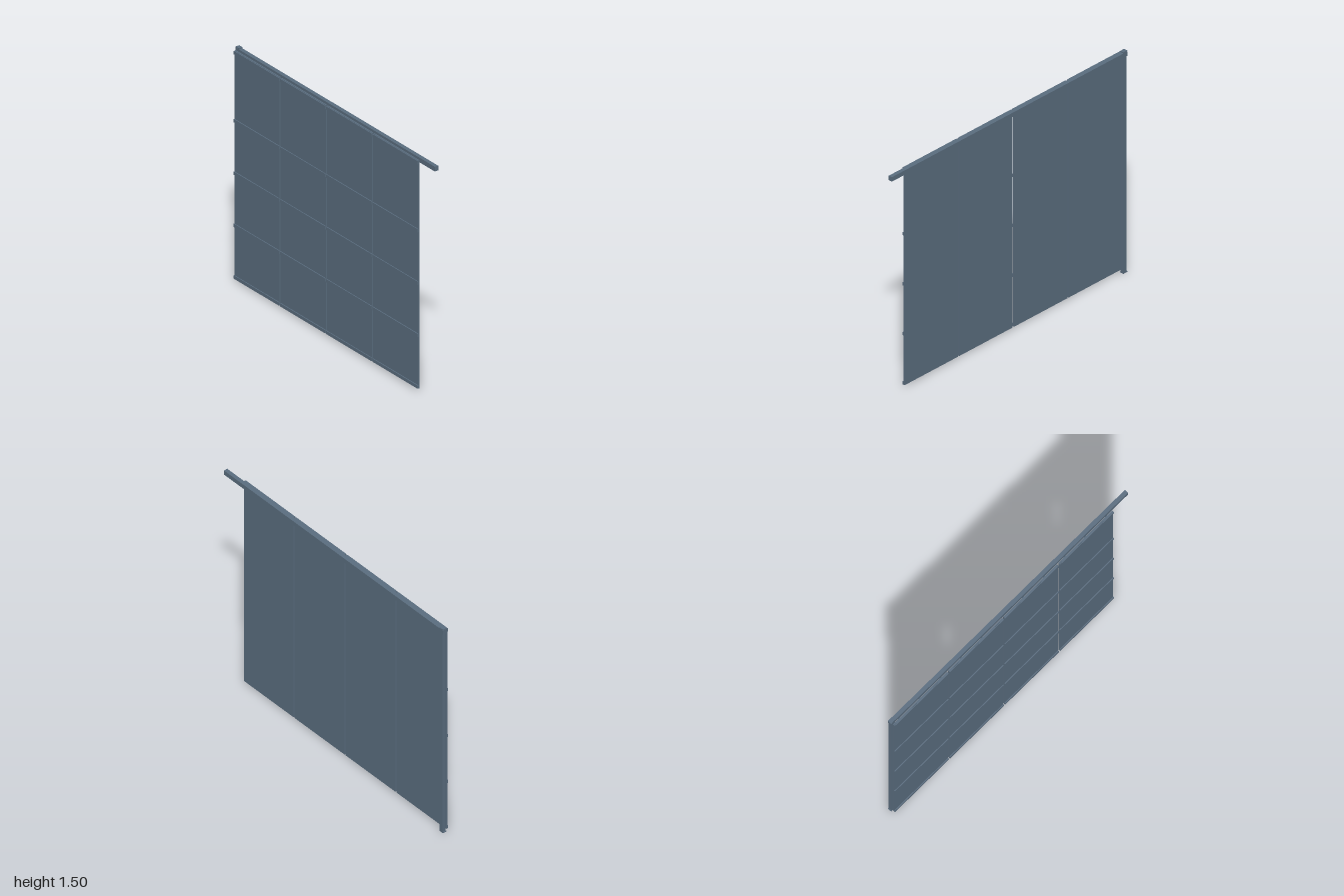
import * as THREE from 'three';

export function createModel() {
  const gate = new THREE.Group();
  gate.name = 'slidingGate';
  const steel = new THREE.MeshStandardMaterial({ color: 0x5b6e80 });
  steel.name = 'blueGreySteel';

  // Box given by its lower and upper corners
  function box(name, [x0, y0, z0], [x1, y1, z1], parent = gate) {
    const mesh = new THREE.Mesh(new THREE.BoxGeometry(x1 - x0, y1 - y0, z1 - z0), steel);
    mesh.name = name;
    mesh.position.set((x0 + x1) / 2, (y0 + y1) / 2, (z0 + z1) / 2);
    parent.add(mesh);
  }

  // Overhead rail, and the end post with its caps
  box('topRail', [-1, 1.467, -0.024], [1, 1.497, 0.002]);
  box('endPost', [-0.995, 0.006, -0.0235], [-0.968, 1.499, 0.0015]);
  box('postTopCap', [-1, 1.499, -0.024], [-0.967, 1.505, 0.002]);
  box('postBottomCap', [-1, 0, -0.024], [-0.967, 0.006, 0.002]);

  // Four panels, each with five battens on the front
  const pitch = 0.4645, width = 0.454;
  const battenBottoms = [0.01, 0.345, 0.683, 1.023, 1.464];
  for (let i = 0; i < 4; i++) {
    const panel = new THREE.Group();
    panel.name = `panel${i + 1}`;
    gate.add(panel);
    const x = -0.99 + i * pitch;
    box('panelSheet', [x, 0.01, 0.009], [x + width, 1.487, 0.018], panel);
    for (const y of battenBottoms) {
      box('batten', [x, y, 0.0175], [x + width, y + 0.021, 0.024], panel);
    }
  }
  return gate;
}
